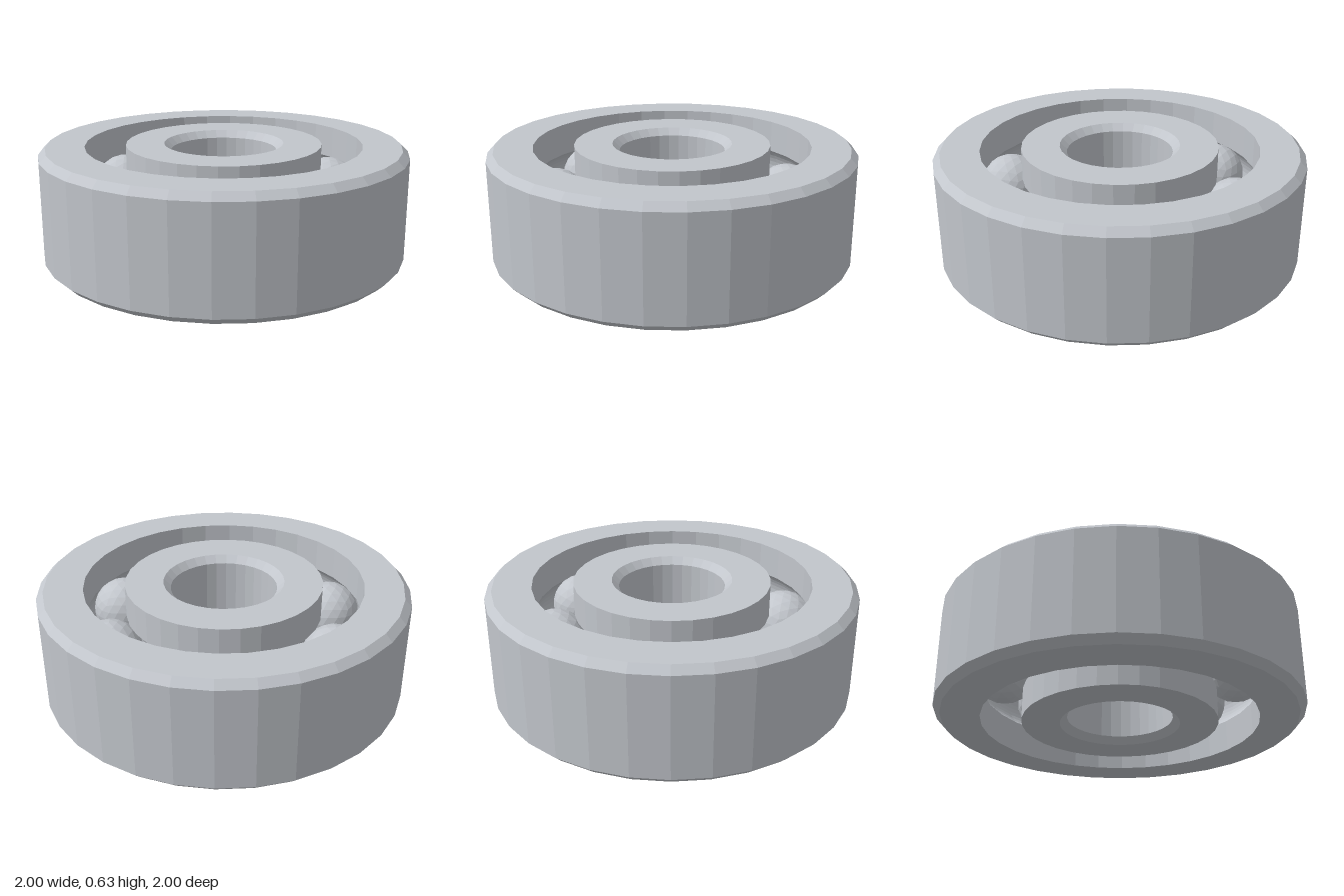
import * as THREE from 'three';

const SIDES = 32, HEIGHT = 0.63, MID = HEIGHT / 2, CHAMFER = 0.038;
const PITCH = 0.643, BALL = 0.175, BALLS = 8;

// Arc of the raceway groove, between two angles around the ball centre
function groove(start, end, steps = 12) {
  return Array.from({ length: steps + 1 }, (_, i) => {
    const a = start + (end - start) * i / steps;
    return [PITCH + BALL * Math.cos(a), MID + BALL * Math.sin(a)];
  });
}

// Closed profile, counter-clockwise, spun around the vertical axis
function ring(name, profile, material) {
  const points = [...profile, profile[0]].map(([r, y]) => new THREE.Vector2(r, y));
  const mesh = new THREE.Mesh(new THREE.LatheGeometry(points, SIDES), material);
  mesh.name = name;
  return mesh;
}

export function createModel() {
  const steel = new THREE.MeshStandardMaterial({ color: 0xc2c6cc });
  steel.name = 'steel';
  steel.flatShading = true;

  const group = new THREE.Group();
  group.name = 'ballBearing';

  // Outer ring: chamfered outside, raceway on its inner wall
  const outerWall = 0.753;
  const a = Math.acos((outerWall - PITCH) / BALL);
  group.add(ring('outerRing', [
    [1 - CHAMFER, 0], [1, CHAMFER], [1, HEIGHT - CHAMFER], [1 - CHAMFER, HEIGHT],
    [outerWall, HEIGHT], ...groove(a, -a), [outerWall, 0],
  ], steel));

  // Inner ring: raceway on its outer wall, chamfered bore
  const innerWall = 0.533, bore = 0.288;
  const b = Math.acos((innerWall - PITCH) / BALL);
  group.add(ring('innerRing', [
    [innerWall, 0], ...groove(2 * Math.PI - b, b), [innerWall, HEIGHT],
    [bore + CHAMFER, HEIGHT], [bore, HEIGHT - CHAMFER], [bore, CHAMFER], [bore + CHAMFER, 0],
  ], steel));

  // Balls, evenly spaced; each has a vertex at its top
  const ballGeometry = new THREE.IcosahedronGeometry(BALL, 3);
  ballGeometry.rotateZ(Math.atan(2 / (1 + Math.sqrt(5))));
  for (let i = 0; i < BALLS; i++) {
    const t = i / BALLS * Math.PI * 2;
    const ball = new THREE.Mesh(ballGeometry, steel);
    ball.name = `ball${i + 1}`;
    ball.position.set(PITCH * Math.sin(t), MID, PITCH * Math.cos(t));
    group.add(ball);
  }
  return group;
}
